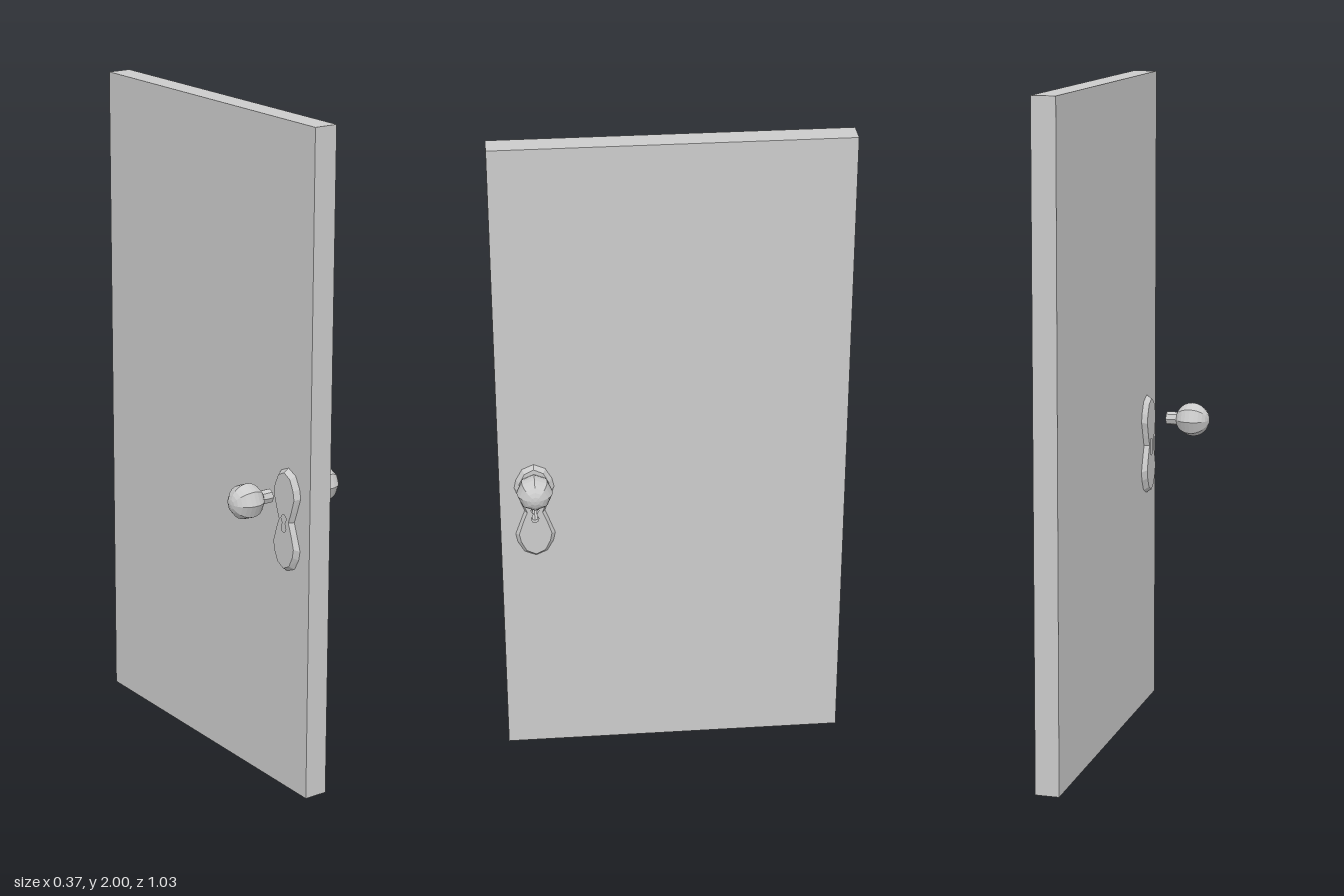
import * as THREE from 'three';

const LOCK_Z = 0.412; // line of the lock furniture
const KNOB_Y = 0.93;
const PLATE_Y = 0.843; // middle of the plates
const material = new THREE.MeshStandardMaterial({ color: 0xcccccc, flatShading: true });

// Keyhole outline: two round lobes joined by a waist
function keyhole() {
  const hole = new THREE.Path();
  const half = [[0, 0.027], [0.009, 0.023], [0.012, 0.014], [0.005, 0.001], [0.011, -0.014], [0.008, -0.024], [0, -0.027]];
  const ring = [...half, ...half.slice(1, -1).reverse().map(([x, y]) => [-x, y])];
  hole.setFromPoints(ring.map(([x, y]) => new THREE.Vector2(x - LOCK_Z, y + PLATE_Y - 0.008)));
  hole.closePath();
  return hole;
}

// Extrudes a side-on outline along x, from x0 to x1
function extrudeAcross(shape, x0, x1) {
  shape.holes.push(keyhole());
  const geometry = new THREE.ExtrudeGeometry(shape, { depth: x1 - x0, bevelEnabled: false });
  return geometry.rotateY(Math.PI / 2).translate(x0, 0, 0);
}

function makeDoor() {
  const shape = new THREE.Shape([[-0.515, 0], [0.515, 0], [0.515, 2], [-0.515, 2]].map(p => new THREE.Vector2(...p)));
  return new THREE.Mesh(extrudeAcross(shape, 0.017, 0.089), material);
}

// Plate with two lobes and a narrow waist, its rim sloping in towards outerX
function makePlate(x0, x1, outerX) {
  const quarter = [[0, 0.157], [0.034, 0.142], [0.053, 0.108], [0.059, 0.08], [0.043, 0.035], [0.03, 0]];
  const right = [...quarter, ...quarter.slice(0, -1).reverse().map(([x, y]) => [x, -y])];
  const ring = [...right, ...right.slice(1, -1).reverse().map(([x, y]) => [-x, y])];
  const shape = new THREE.Shape(ring.map(([x, y]) => new THREE.Vector2(x - LOCK_Z, y + PLATE_Y)));
  const geometry = extrudeAcross(shape, x0, x1);
  const pos = geometry.attributes.position;
  for (let i = 0; i < pos.count; i++) {
    const dz = pos.getZ(i) - LOCK_Z, dy = pos.getY(i) - PLATE_Y;
    if (Math.abs(pos.getX(i) - outerX) < 0.001 && Math.hypot(dz, dy) > 0.029 + 0.008) {
      pos.setZ(i, LOCK_Z + dz * 0.82);
      pos.setY(i, PLATE_Y + dy * 0.93);
    } else if (Math.abs(pos.getX(i) - outerX) < 0.001 && Math.abs(dz) > 0.02) {
      pos.setZ(i, LOCK_Z + dz * 0.75);
    }
  }
  geometry.computeVertexNormals();
  return new THREE.Mesh(geometry, material);
}

// Eight-sided ball on a short stem, turned about x
function makeKnob(side) {
  const knob = new THREE.Group();
  const profile = [];
  for (let i = 0; i <= 12; i++) {
    const a = -Math.PI / 2 + (i / 12) * Math.PI;
    profile.push(new THREE.Vector2(Math.max(0, Math.cos(a) * 0.053), Math.sin(a) * 0.053));
  }
  const ball = new THREE.Mesh(new THREE.LatheGeometry(profile, 8), material);
  ball.name = 'knobBall';
  ball.position.y = 0.132;
  const stem = new THREE.Mesh(new THREE.CylinderGeometry(0.021, 0.021, 0.05, 8), material);
  stem.name = 'knobStem';
  stem.position.y = 0.075;
  knob.add(ball, stem);
  knob.rotation.z = -side * Math.PI / 2;
  knob.position.set(0, KNOB_Y, LOCK_Z);
  return knob;
}

export function createModel() {
  const model = new THREE.Group();
  model.name = 'door';
  const add = (name, part) => {
    part.name = name;
    model.add(part);
  };
  add('doorPanel', makeDoor());
  add('rightPlate', makePlate(0.001, 0.017, 0.001));
  add('leftPlate', makePlate(0.089, 0.102, 0.102));
  add('rightKnob', makeKnob(-1));
  add('leftKnob', makeKnob(1));
  return model;
}
